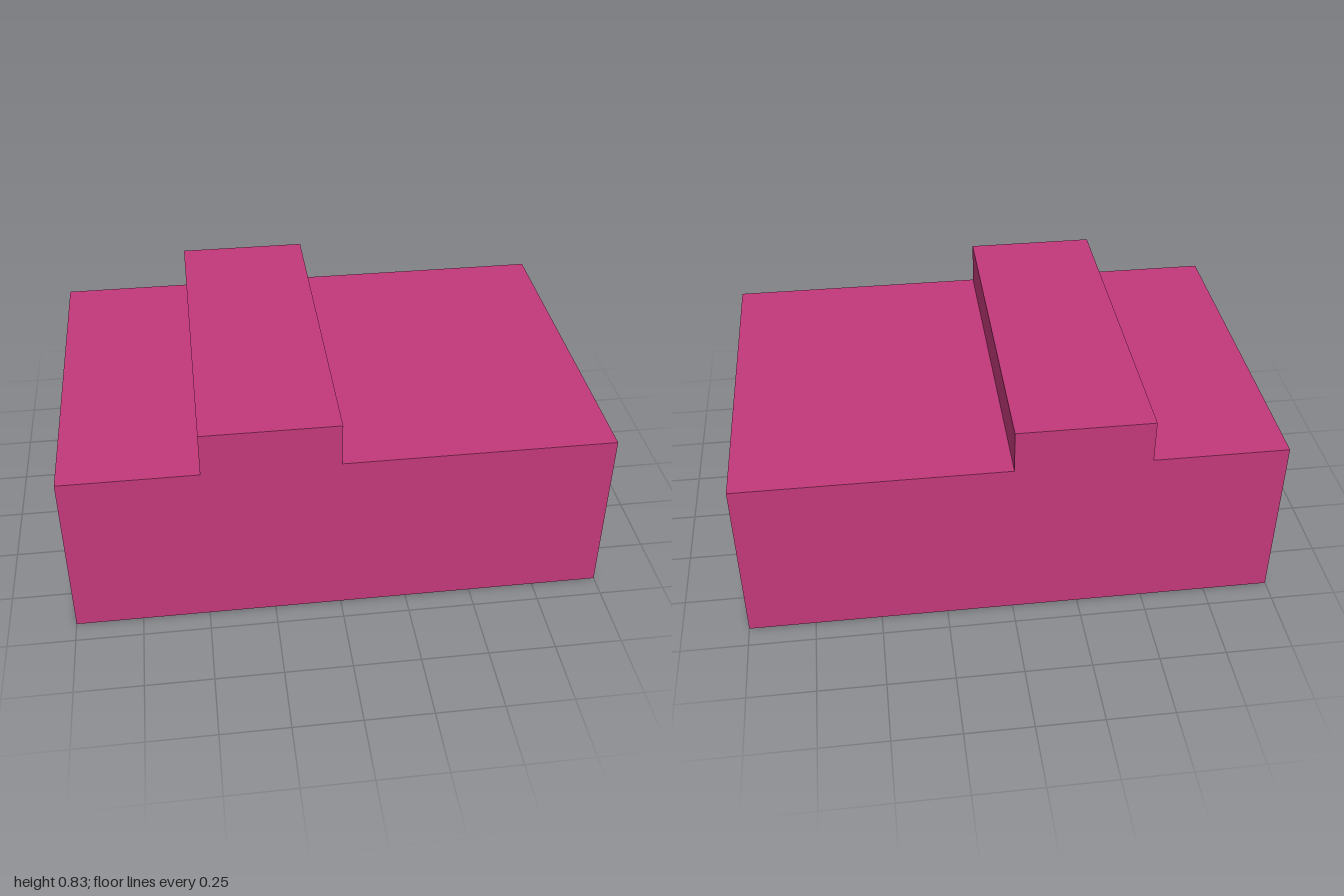
import * as THREE from 'three';

export function createModel() {
  const group = new THREE.Group();
  group.name = 'steppedBlock';

  // Stepped outline: a long block with an off-centre raised rib
  const base = 0.667, top = 0.833, depth = 1.333;
  const outline = [
    [-1, 0], [1, 0], [1, base], [0, base],
    [0, top], [-0.5, top], [-0.5, base], [-1, base],
  ];
  const shape = new THREE.Shape(outline.map(([x, y]) => new THREE.Vector2(x, y)));

  // Extrude front to back, centred on z
  const geometry = new THREE.ExtrudeGeometry(shape, { depth, bevelEnabled: false });
  geometry.translate(0, 0, -depth / 2);

  const block = new THREE.Mesh(
    geometry,
    new THREE.MeshStandardMaterial({ color: 0xc2397a, flatShading: true })
  );
  block.name = 'blockWithRib';
  group.add(block);
  return group;
}
